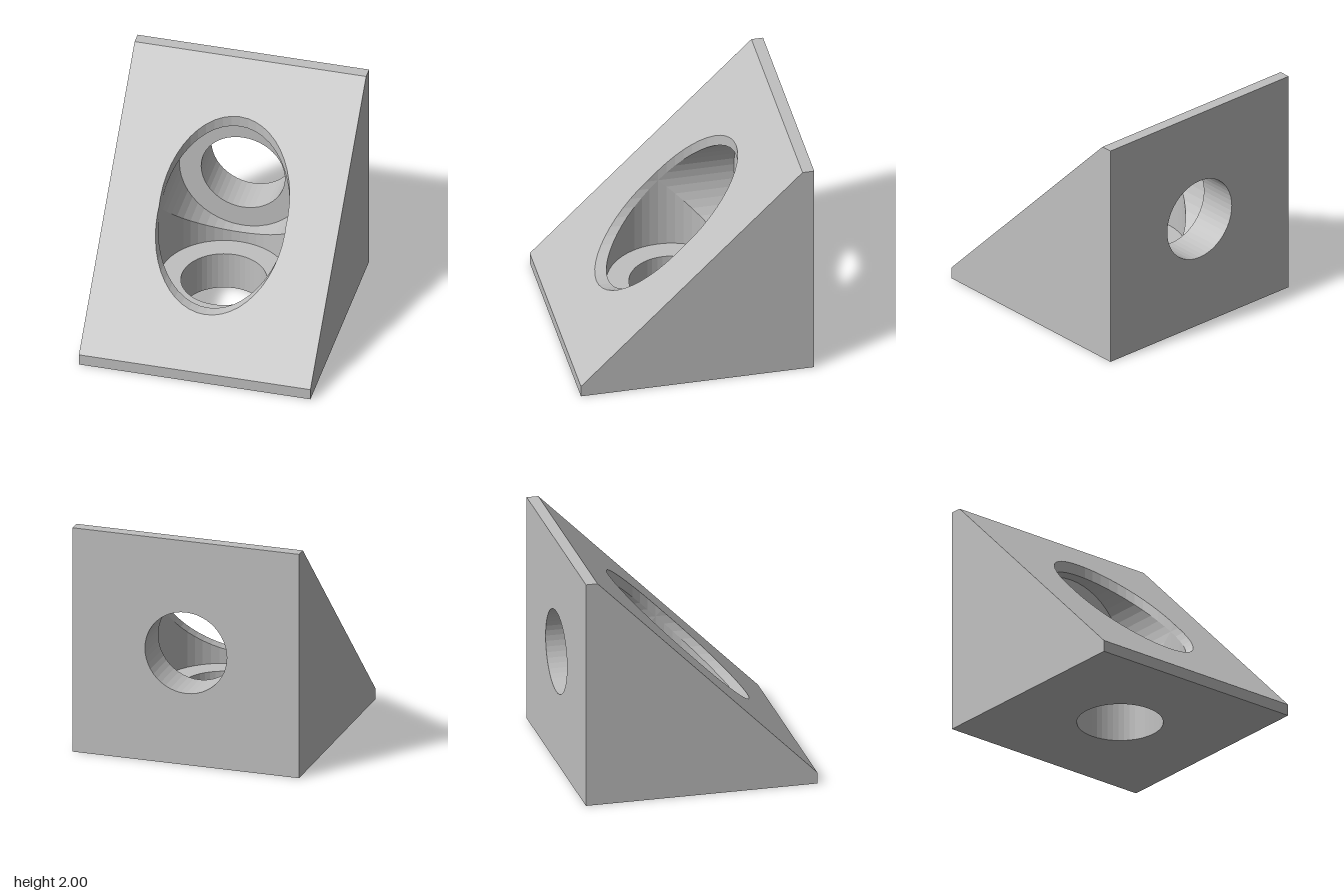
import * as THREE from 'three';

const R = 0.55;      // counterbore radius
const r = 0.362;     // through hole radius
const WALL = 0.35;   // thickness left under each counterbore
const SLOPE = 1.1;   // sloped face lies on y + z = SLOPE
const SEGS = 48;

const range = (from, to, n) => Array.from({ length: n + 1 }, (_, i) => from + (to - from) * i / n);
const FULL = range(0, 2 * Math.PI, SEGS);
// angles of the short wall that remains above the crossing of the two bores
const tip = Math.asin(0.05 / R);
const LIP = [-Math.PI - tip, ...range(-Math.PI, 0, SEGS / 2), tip];

const v2 = (x, y) => new THREE.Vector2(x, y);
const rect = (x0, y0, x1, y1) => [v2(x0, y0), v2(x1, y0), v2(x1, y1), v2(x0, y1)];
const circle = (rad) => FULL.slice(0, -1).map((a) => v2(rad * Math.cos(a), rad * Math.sin(a)));

// Flat face: a 2D outline with an optional hole, placed in space by a rule
function face(outline, hole, place) {
  const shape = new THREE.Shape(outline);
  if (hole) shape.holes.push(new THREE.Path(hole));
  const geo = new THREE.ShapeGeometry(shape).toNonIndexed();
  const p = geo.attributes.position;
  for (let i = 0; i < p.count; i++) p.setXYZ(i, ...place(p.getX(i), p.getY(i)));
  geo.computeVertexNormals();
  return geo;
}

// Faceted inward-facing wall of an upright bore, between two height rules
function boreWall(radius, angles, low, high) {
  const pos = [];
  for (let i = 0; i < angles.length - 1; i++) {
    const [a, b] = [angles[i], angles[i + 1]].map((t) => {
      const x = radius * Math.cos(t), z = radius * Math.sin(t);
      return { lo: [x, low(z), z], hi: [x, high(z), z] };
    });
    pos.push(...a.lo, ...b.lo, ...b.hi, ...a.lo, ...b.hi, ...a.hi);
  }
  const geo = new THREE.BufferGeometry();
  geo.setAttribute('position', new THREE.Float32BufferAttribute(pos, 3));
  geo.computeVertexNormals();
  return geo;
}

// Mirror across the bracket's diagonal plane: upright parts become rear parts
function mirrored(source) {
  const geo = source.clone();
  const s = source.attributes.position, p = geo.attributes.position;
  for (let i = 0; i < p.count; i++) {
    const j = i % 3 === 0 ? i : i % 3 === 1 ? i + 1 : i - 1;
    p.setXYZ(i, s.getX(j), s.getZ(j) + 1, s.getY(j) - 1);
  }
  geo.computeVertexNormals();
  return geo;
}

export function createModel() {
  const group = new THREE.Group();
  const grey = new THREE.MeshStandardMaterial({ color: 0xc0c0c0, side: THREE.DoubleSide });
  grey.name = 'grey';
  const add = (name, geo) => {
    const mesh = new THREE.Mesh(geo, grey);
    mesh.name = name;
    group.add(mesh);
  };

  // Triangular side cheeks with blunt tips
  const profile = [[1, 0], [1, 0.1], [-0.9, 2], [-1, 2], [-1, 0]];
  for (const s of [1, -1]) {
    add(s > 0 ? 'leftSide' : 'rightSide',
      face(profile.map(([z, y]) => v2(-s * z, y)), null, (u, v) => [s, v, -s * u]));
  }

  // Sloped face, its opening being the union of both counterbores
  const opening = [
    ...LIP.map((t) => v2(R * Math.cos(t), SLOPE - R * Math.sin(t))),
    ...LIP.slice(1, -1).reverse().map((t) => v2(R * Math.cos(t), 1 + R * Math.sin(t))),
  ];
  add('slopedFace', face(rect(-1, 0.1, 1, 2), opening, (x, y) => [x, y, SLOPE - y]));

  // Parts of the base, each repeated on the back plate
  const parts = {
    Plate: face(rect(-1, -1, 1, 1), circle(r), (x, z) => [x, 0, z]),
    Edge: face(rect(-1, 0, 1, 0.1), null, (x, y) => [x, y, 1]),
    Hole: boreWall(r, FULL, () => 0, () => WALL),
    CounterboreSeat: face(circle(R), circle(r), (x, v) => [x, WALL, -v]),
    CounterboreWall: boreWall(R, FULL, () => WALL, (z) => 1 - Math.abs(z)),
    CounterboreLip: boreWall(R, LIP, (z) => 1 + Math.abs(z), (z) => SLOPE - z),
  };
  for (const [name, geo] of Object.entries(parts)) {
    add('base' + name, geo);
    add('back' + name, mirrored(geo));
  }
  return group;
}
